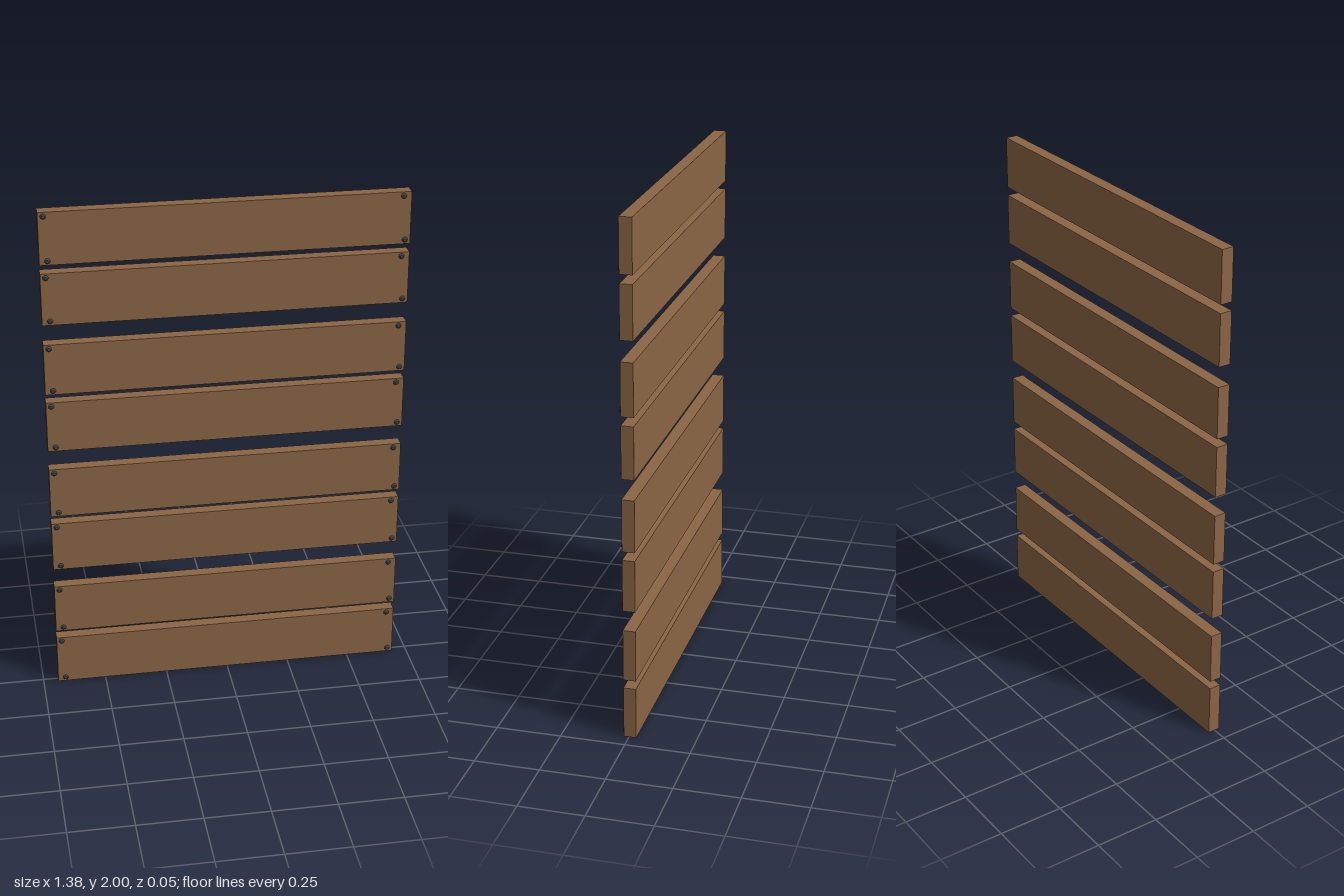
import * as THREE from 'three';

export function createModel() {
  const model = new THREE.Group();
  model.name = 'plankPanel';

  const wood = new THREE.MeshStandardMaterial({ color: 0x8b6545 });
  wood.name = 'brown wood';
  const iron = new THREE.MeshStandardMaterial({ color: 0x43474a });
  iron.name = 'dark iron';

  const width = 1.382, height = 0.204, depth = 0.048;
  const back = -0.0275, headHeight = 0.007;

  const plankGeo = new THREE.BoxGeometry(width, height, depth);
  // Tapered round head, turned to face the front
  const nailGeo = new THREE.CylinderGeometry(0.006, 0.011, headHeight, 12);
  nailGeo.rotateX(Math.PI / 2);

  // Nails sit near the corners, each row slightly shifted sideways
  const nails = [[-0.671, 1], [0.661, 1], [-0.661, -1], [0.671, -1]];

  // Four pairs of planks with a wider gap between pairs
  for (let pair = 0; pair < 4; pair++) {
    for (let i = 0; i < 2; i++) {
      const group = new THREE.Group();
      group.name = `board${pair * 2 + i + 1}`;
      group.position.y = height / 2 + pair * 0.5197 + i * 0.237;

      const plank = new THREE.Mesh(plankGeo, wood);
      plank.name = 'plank';
      plank.position.z = back + depth / 2;
      group.add(plank);

      for (const [x, side] of nails) {
        const nail = new THREE.Mesh(nailGeo, iron);
        nail.name = 'nailHead';
        nail.position.set(x, side * (height / 2 - 0.016), back + depth + headHeight / 2);
        group.add(nail);
      }
      model.add(group);
    }
  }
  return model;
}
